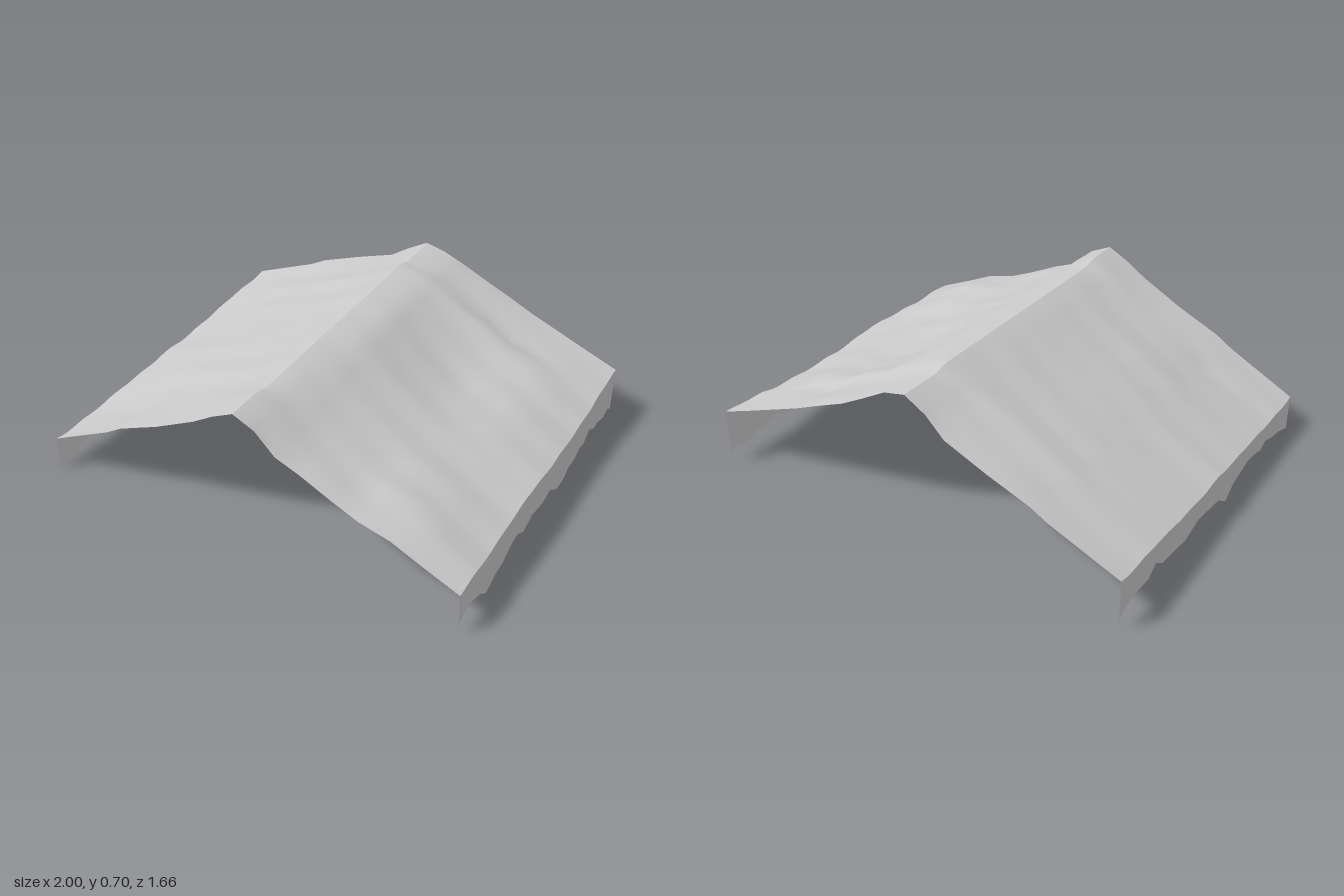
import * as THREE from 'three';

// Stations across the roof, and the cloth height at each for several depths z
const XS = [-1, -0.68, -0.6, -0.4, -0.2, -0.1, 0, 0.1, 0.19, 0.3, 0.44, 0.56, 0.7, 0.85, 1];
const RIDGE = 6;
const SECTIONS = [
  [-0.83, [0.245, 0.375, 0.42, 0.5, 0.57, 0.64, 0.7, 0.675, 0.625, 0.57, 0.51, 0.455, 0.4, 0.34, 0.28]],
  [-0.6, [0.23, 0.37, 0.41, 0.5, 0.585, 0.645, 0.69, 0.67, 0.635, 0.565, 0.5, 0.43, 0.39, 0.325, 0.266]],
  [-0.53, [0.225, 0.37, 0.41, 0.5, 0.597, 0.65, 0.706, 0.685, 0.645, 0.575, 0.513, 0.44, 0.4, 0.325, 0.25]],
  [-0.2, [0.2, 0.35, 0.4, 0.49, 0.59, 0.65, 0.697, 0.68, 0.635, 0.53, 0.45, 0.39, 0.375, 0.305, 0.227]],
  [0.2, [0.19, 0.34, 0.39, 0.485, 0.575, 0.645, 0.687, 0.66, 0.61, 0.53, 0.465, 0.4, 0.35, 0.29, 0.243]],
  [0.6, [0.17, 0.305, 0.37, 0.47, 0.565, 0.635, 0.676, 0.653, 0.57, 0.52, 0.445, 0.41, 0.39, 0.3, 0.22]],
  [0.67, [0.17, 0.315, 0.375, 0.47, 0.57, 0.64, 0.692, 0.65, 0.565, 0.515, 0.44, 0.4, 0.38, 0.295, 0.216]],
  [0.835, [0.18, 0.345, 0.395, 0.475, 0.575, 0.64, 0.69, 0.645, 0.555, 0.51, 0.44, 0.385, 0.345, 0.275, 0.213]],
];

// Torn lower edges of the hanging flaps, as [z, y]
const LEFT_HEM = [[-0.83, 0.06], [-0.79, 0.085], [-0.74, 0.065], [-0.65, 0.09], [-0.6, 0.085], [-0.54, 0.12],
  [-0.48, 0.08], [-0.43, 0.085], [-0.36, 0.06], [-0.3, 0.06], [-0.25, 0.03], [-0.17, 0.03], [-0.08, 0.085],
  [0, 0.07], [0.12, 0.09], [0.2, 0.06], [0.27, 0.1], [0.34, 0.085], [0.41, 0.05], [0.48, 0.045],
  [0.56, 0.01], [0.62, 0.055], [0.72, 0.09], [0.83, 0.055]];
const RIGHT_HEM = [[-0.83, 0.055], [-0.8, 0.08], [-0.72, 0.1], [-0.65, 0.095], [-0.6, 0.09], [-0.54, 0.13],
  [-0.48, 0.09], [-0.4, 0.08], [-0.27, 0.06], [-0.15, 0.09], [-0.05, 0.075], [0.05, 0.06], [0.13, 0.005],
  [0.2, 0.055], [0.27, 0.07], [0.35, 0.09], [0.45, 0.075], [0.5, 0.06], [0.55, 0.085], [0.62, 0.06],
  [0.72, 0.04], [0.83, 0]];

const material = new THREE.MeshStandardMaterial({ color: 0xcccccc, side: THREE.DoubleSide });

// Grid whose vertices are placed by a rule of column i and row j
function sheet(name, cols, rows, place) {
  const geo = new THREE.PlaneGeometry(1, 1, cols, rows);
  const pos = geo.attributes.position;
  for (let k = 0; k < pos.count; k++) {
    pos.setXYZ(k, ...place(k % (cols + 1), Math.floor(k / (cols + 1))));
  }
  geo.computeVertexNormals();
  const mesh = new THREE.Mesh(geo, material);
  mesh.name = name;
  return mesh;
}

// Cloth height at station c: smooth along z, with uneven wrinkles away from the ridge
function height(c, z) {
  let s = 0;
  while (s < SECTIONS.length - 2 && z > SECTIONS[s + 1][0]) s++;
  const [z0, a] = SECTIONS[s];
  const [z1, b] = SECTIONS[s + 1];
  const x = XS[c];
  const fade = Math.min(1, Math.abs(x) * 4);
  const wrinkle = 0.004 * Math.sin(17 * z + 5 * x) * Math.cos(6 * x - 4 * z) + 0.003 * Math.sin(29 * z - 7 * x + 1);
  return THREE.MathUtils.lerp(a[c], b[c], (z - z0) / (z1 - z0)) + fade * wrinkle;
}

// Front and back outline of the roof
const frontZ = (x) => 0.833 - 0.014 * Math.abs(x);
const backZ = (x) => -0.8 - 0.03 * THREE.MathUtils.smoothstep(Math.abs(x), 0.08, 0.28);

const ROWS = 56;
function slope(name, first, last) {
  return sheet(name, last - first, ROWS, (i, j) => {
    const x = XS[first + i];
    const z = THREE.MathUtils.lerp(backZ(x), frontZ(x), j / ROWS);
    return [x, height(first + i, z), z];
  });
}

// Flap hanging straight down from an eave to its torn hem
function flap(name, side, hem) {
  const c = side > 0 ? XS.length - 1 : 0;
  const hemAt = (z) => {
    const k = Math.max(1, hem.findIndex(([hz]) => hz >= z));
    const [[z0, y0], [z1, y1]] = [hem[k - 1], hem[k]];
    return THREE.MathUtils.lerp(y0, y1, (z - z0) / (z1 - z0));
  };
  // columns at the roof rows and at every hem corner
  const zs = hem.map(([z]) => THREE.MathUtils.clamp(z, backZ(1), frontZ(1)));
  for (let j = 1; j < ROWS; j++) zs.push(THREE.MathUtils.lerp(backZ(1), frontZ(1), j / ROWS));
  zs.sort((p, q) => (q - p) * side);
  return sheet(name, zs.length - 1, 1, (i, j) => [side, j ? hemAt(zs[i]) : height(c, zs[i]), zs[i]]);
}

export function createModel() {
  const group = new THREE.Group();
  group.name = 'clothRoof';
  group.add(
    slope('rightSlope', 0, RIDGE),
    slope('leftSlope', RIDGE, XS.length - 1),
    flap('leftFlap', 1, LEFT_HEM),
    flap('rightFlap', -1, RIGHT_HEM),
  );
  return group;
}
